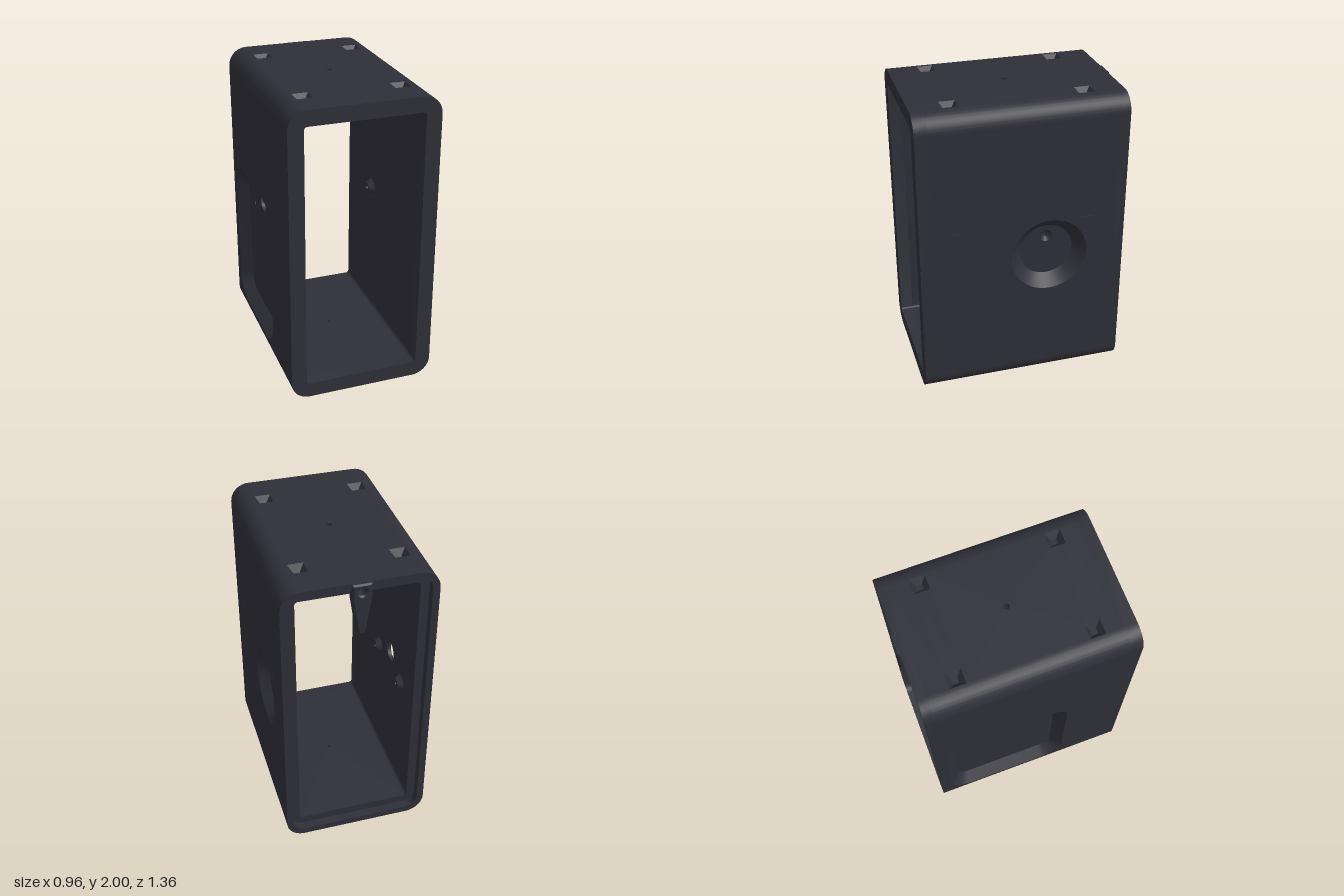
import * as THREE from 'three';
import { mergeGeometries, toCreasedNormals } from 'three/addons/utils/BufferGeometryUtils.js';

const T = 0.1;              // wall thickness
const ZB = -0.6, ZF = 0.6;  // extent of the wall panels, closed by frames at both ends

export function createModel() {
  const group = new THREE.Group();
  const charcoal = new THREE.MeshStandardMaterial({ color: 0x2f2f38, side: THREE.DoubleSide });
  charcoal.name = 'charcoal';
  const add = (name, geometry) => {
    const mesh = new THREE.Mesh(geometry, charcoal);
    mesh.name = name;
    group.add(mesh);
    return mesh;
  };
  const smooth = (g) => toCreasedNormals(g, 0.5);

  // Outlines as point loops
  const circle = (u, v, r, n = 48) => Array.from({ length: n }, (_, i) => {
    const a = (i / n) * Math.PI * 2;
    return new THREE.Vector2(u + r * Math.cos(a), v + r * Math.sin(a));
  });
  const rect = (u0, v0, u1, v1) =>
    [[u0, v0], [u1, v0], [u1, v1], [u0, v1]].map(([u, v]) => new THREE.Vector2(u, v));
  const square = (u, v, h) => rect(u - h, v - h, u + h, v + h);
  const roundRect = (u0, v0, u1, v1, r, n = 12) => {
    const corners = [[u1 - r, v0 + r, -1], [u1 - r, v1 - r, 0], [u0 + r, v1 - r, 1], [u0 + r, v0 + r, 2]];
    return corners.flatMap(([u, v, q]) => Array.from({ length: n + 1 }, (_, i) => {
      const a = (q + i / n) * Math.PI / 2;
      return new THREE.Vector2(u + r * Math.cos(a), v + r * Math.sin(a));
    }));
  };
  const shapeOf = (outline, holes = []) => {
    const s = new THREE.Shape(outline);
    holes.forEach((h) => s.holes.push(new THREE.Path(h)));
    return s;
  };

  // Flat face at depth d below the outer surface
  const face = (outline, holes, d) => {
    const g = new THREE.ShapeGeometry(shapeOf(outline, holes)).toNonIndexed();
    g.deleteAttribute('uv');
    return g.translate(0, 0, -d);
  };
  // Band joining two loops of equal length, facing inward
  const band = (a, da, b, db) => {
    const p = [];
    a.forEach((_, i) => {
      const j = (i + 1) % a.length;
      const A = [a[i].x, a[i].y, -da], B = [a[j].x, a[j].y, -da];
      const C = [b[j].x, b[j].y, -db], D = [b[i].x, b[i].y, -db];
      p.push(...A, ...B, ...C, ...A, ...C, ...D);
    });
    const g = new THREE.BufferGeometry();
    g.setAttribute('position', new THREE.Float32BufferAttribute(p, 3));
    g.computeVertexNormals();
    return smooth(g);
  };

  // Wall panel with recesses { top, floor, depth, holes } and through holes
  const wall = (name, outline, recesses, through, basis, origin) => {
    const parts = [face(outline, [...recesses.map((r) => r.top), ...through], 0)];
    const inner = [...through];
    through.forEach((h) => parts.push(band(h, 0, h, T)));
    recesses.forEach(({ top, floor, depth, holes = [] }) => {
      parts.push(band(top, 0, floor, depth), face(floor, holes, depth));
      holes.forEach((h) => parts.push(band(h, depth, h, T)));
      inner.push(...holes);
    });
    parts.push(face(outline, inner, T));
    const m = new THREE.Matrix4().makeBasis(...basis.map((b) => new THREE.Vector3(...b)));
    add(name, mergeGeometries(parts).applyMatrix4(m.setPosition(...origin)));
  };

  const X = [1, 0, 0], Y = [0, 1, 0], Z = [0, 0, 1];
  const nX = [-1, 0, 0], nY = [0, -1, 0], nZ = [0, 0, -1];
  const footX = [-0.31, 0.31], footZ = [-0.415, 0.435];

  // Top with four stacking sockets and a centre hole
  const sockets = footX.flatMap((x) => footZ.map((z) => (
    { top: square(x, -z, 0.05), floor: square(x, -z, 0.018), depth: 0.045 })));
  wall('topWall', rect(-0.36, -ZF, 0.36, -ZB), sockets, [circle(0, -0.01, 0.02, 24)], [X, nZ, Y], [0, 2, 0]);

  // Bottom with a small centre hole
  wall('bottomWall', rect(-0.36, ZB, 0.36, ZF), [], [circle(0, 0.01, 0.01, 16)], [X, Z, nY], [0, 0.04, 0]);

  // Dished side with a screw hole and two hairline slots
  const slot = (u) => {
    const s = rect(u - 0.04, 1.208, u + 0.04, 1.213);
    return { top: s, floor: s, depth: 0.01 };
  };
  wall('dishedSideWall', rect(-ZF, 0.16, -ZB, 1.88), [
    { top: circle(0.16, 0.965, 0.25, 64), floor: circle(0.16, 0.965, 0.175, 64), depth: 0.075,
      holes: [circle(0.16, 1.065, 0.04, 24)] },
    slot(-0.44), slot(0.41),
  ], [], [nZ, Y, X], [0.48, 0, 0]);

  // Opposite side with a large chamfered pocket, cable hole and two screw holes
  const screwZ = [-0.375, 0.055];
  wall('pocketSideWall', rect(ZB, 0.16, ZF, 1.88), [
    { top: roundRect(-0.58, 0.17, 0.26, 1.21, 0.16), floor: roundRect(-0.515, 0.235, 0.195, 1.145, 0.1),
      depth: 0.075,
      holes: [circle(-0.16, 1.065, 0.065), ...screwZ.map((z) => circle(z, 0.965, 0.018, 24))] },
  ], [], [Z, Y, nX], [-0.48, 0, 0]);

  // Rounded corner posts running front to back
  [[0.36, 1.88, 0], [-0.36, 1.88, 1], [-0.36, 0.16, 2], [0.36, 0.16, 3]].forEach(([x, y, q]) => {
    const s = new THREE.Shape();
    const a = q * Math.PI / 2, b = a + Math.PI / 2;
    s.absarc(x, y, 0.12, a, b, false);
    s.absarc(x, y, 0.02, b, a, true);
    const g = new THREE.ExtrudeGeometry(s, { depth: ZF - ZB, bevelEnabled: false, curveSegments: 12 });
    add('roundedCorner', smooth(g.translate(0, 0, ZB)));
  });

  // Front frame, rear ledge and the thin rear rim around it
  const ring = (name, inset, r, z0, z1) => {
    const outer = roundRect(-0.48, 0.04, 0.48, 2, 0.12);
    const hole = roundRect(-0.48 + inset, 0.04 + inset, 0.48 - inset, 2 - inset, r);
    const g = new THREE.ExtrudeGeometry(shapeOf(outer, [hole]), { depth: z1 - z0, bevelEnabled: false });
    add(name, smooth(g.translate(0, 0, z0)));
  };
  ring('frontFrame', T, 0.02, ZF, 0.68);
  ring('rearLedge', T, 0.02, -0.605, ZB);
  ring('rearRim', 0.045, 0.075, -0.66, -0.605);

  // Hollow screw bosses on the inside walls
  const boss = (name, side, y, z, head, bore) => {
    const profile = [[head, -0.025], [bore, -0.002], [bore, 0.035], [0.037, 0.035], [0.042, 0.025], [0.056, 0]];
    const g = new THREE.LatheGeometry(profile.map(([r, h]) => new THREE.Vector2(r, h)), 32);
    g.rotateZ(side * Math.PI / 2);
    add(name, smooth(g.translate(side * 0.38, y, z)));
  };
  boss('dishBoss', 1, 1.065, -0.16, 0.04, 0.016);
  screwZ.forEach((z) => boss('pocketBoss', -1, 0.965, z, 0.018, 0.012));

  // Tapered locking tab at the top of the back
  const tab = new THREE.Shape();
  tab.moveTo(0.06, 1.998);
  tab.lineTo(-0.06, 1.998);
  tab.lineTo(-0.06, 1.9);
  tab.lineTo(-0.025, 1.674);
  tab.absarc(0, 1.674, 0.025, Math.PI, Math.PI * 2, false);
  tab.lineTo(0.06, 1.9);
  tab.closePath();
  tab.holes.push(new THREE.Path(circle(0, 1.945, 0.025, 24)));
  const tabGeometry = new THREE.ExtrudeGeometry(tab, {
    depth: 0.05, bevelThickness: 0.01, bevelSize: 0.01, bevelOffset: -0.01, bevelSegments: 1,
  });
  add('lockingTab', smooth(tabGeometry.translate(0, 0, -0.67)));

  // Four pyramid feet
  footX.forEach((x) => footZ.forEach((z) => {
    const g = new THREE.CylinderGeometry(0.05 * Math.SQRT2, 0.012 * Math.SQRT2, 0.04, 4).toNonIndexed();
    g.computeVertexNormals();
    add('foot', g.rotateY(Math.PI / 4).translate(x, 0.02, z));
  }));

  return group;
}
